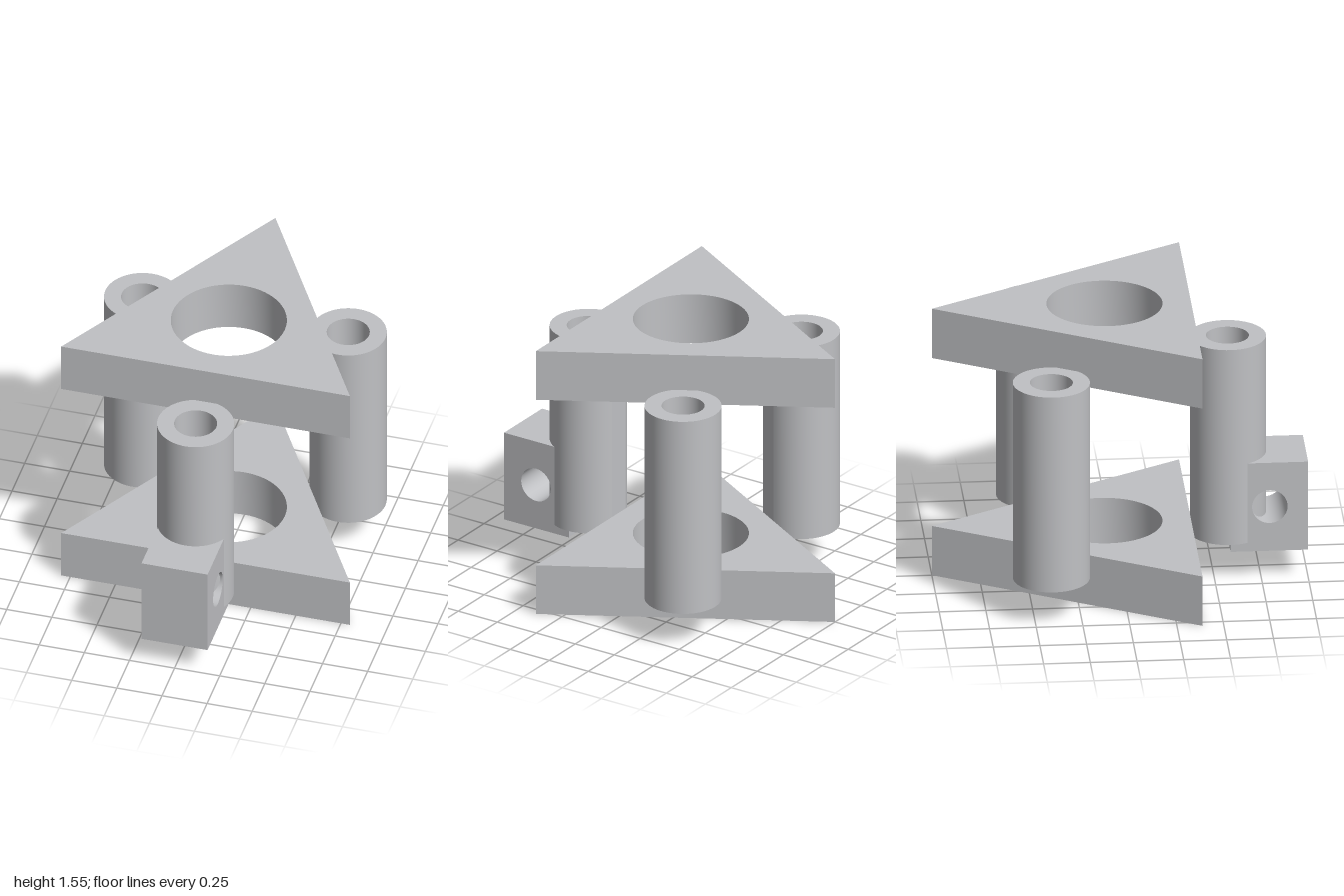
import * as THREE from 'three';
import { toCreasedNormals } from 'three/addons/utils/BufferGeometryUtils.js';

const CENTRE_Z = -0.076; // centroid of the triangular plates
const INRADIUS = 0.462;

// Extrude an outline with a round hole, rounded walls smooth and corners sharp
function pierced(shape, hx, hy, hr, depth) {
  const hole = new THREE.Path();
  hole.absarc(hx, hy, hr, 0, Math.PI * 2, true);
  shape.holes.push(hole);
  const geo = new THREE.ExtrudeGeometry(shape, { depth, bevelEnabled: false, curveSegments: 32 });
  return toCreasedNormals(geo, 0.22);
}

export function createModel() {
  const model = new THREE.Group();
  model.name = 'triangularFrame';
  const grey = new THREE.MeshStandardMaterial({ color: 0xc0c1c4 });
  grey.name = 'light grey';

  const add = (name, geo) => {
    const mesh = new THREE.Mesh(geo, grey);
    mesh.name = name;
    model.add(mesh);
    return mesh;
  };

  // Two triangular plates with a central hole, point towards the back
  const triangle = () => new THREE.Shape([
    new THREE.Vector2(-0.8, -INRADIUS),
    new THREE.Vector2(0.8, -INRADIUS),
    new THREE.Vector2(0, 2 * INRADIUS),
  ]);
  for (const [name, y] of [['bottomPlate', 0], ['topPlate', 1.26]]) {
    const geo = pierced(triangle(), 0, 0, 0.31, 0.286).rotateX(-Math.PI / 2);
    add(name, geo).position.set(0, y, CENTRE_Z);
  }

  // Three hollow columns, each with a narrow flat resting against a plate side
  const radius = 0.206;
  const flat = 0.196;
  const half = Math.acos(flat / radius);
  const ring = INRADIUS + flat;
  ['frontColumn', 'leftColumn', 'rightColumn'].forEach((name, i) => {
    const outline = new THREE.Shape();
    outline.absarc(0, 0, radius, Math.PI / 2 + half, Math.PI * 2.5 - half, false);
    outline.closePath();
    const geo = pierced(outline, 0, 0, 0.115, 1.13).rotateX(-Math.PI / 2);
    const angle = (i * Math.PI * 2) / 3;
    const column = add(name, geo);
    column.position.set(Math.sin(angle) * ring, 0.21, CENTRE_Z + Math.cos(angle) * ring);
    column.rotation.y = angle;
  });

  // Block on the front column, drilled from side to side
  const block = new THREE.Shape([
    new THREE.Vector2(0.585, 0.16),
    new THREE.Vector2(1, 0.16),
    new THREE.Vector2(1, 0.67),
    new THREE.Vector2(0.585, 0.67),
  ]);
  const blockGeo = pierced(block, 0.795, 0.416, 0.095, 0.366).rotateY(-Math.PI / 2);
  add('drilledBlock', blockGeo.translate(0.183, 0, 0));

  return model;
}
